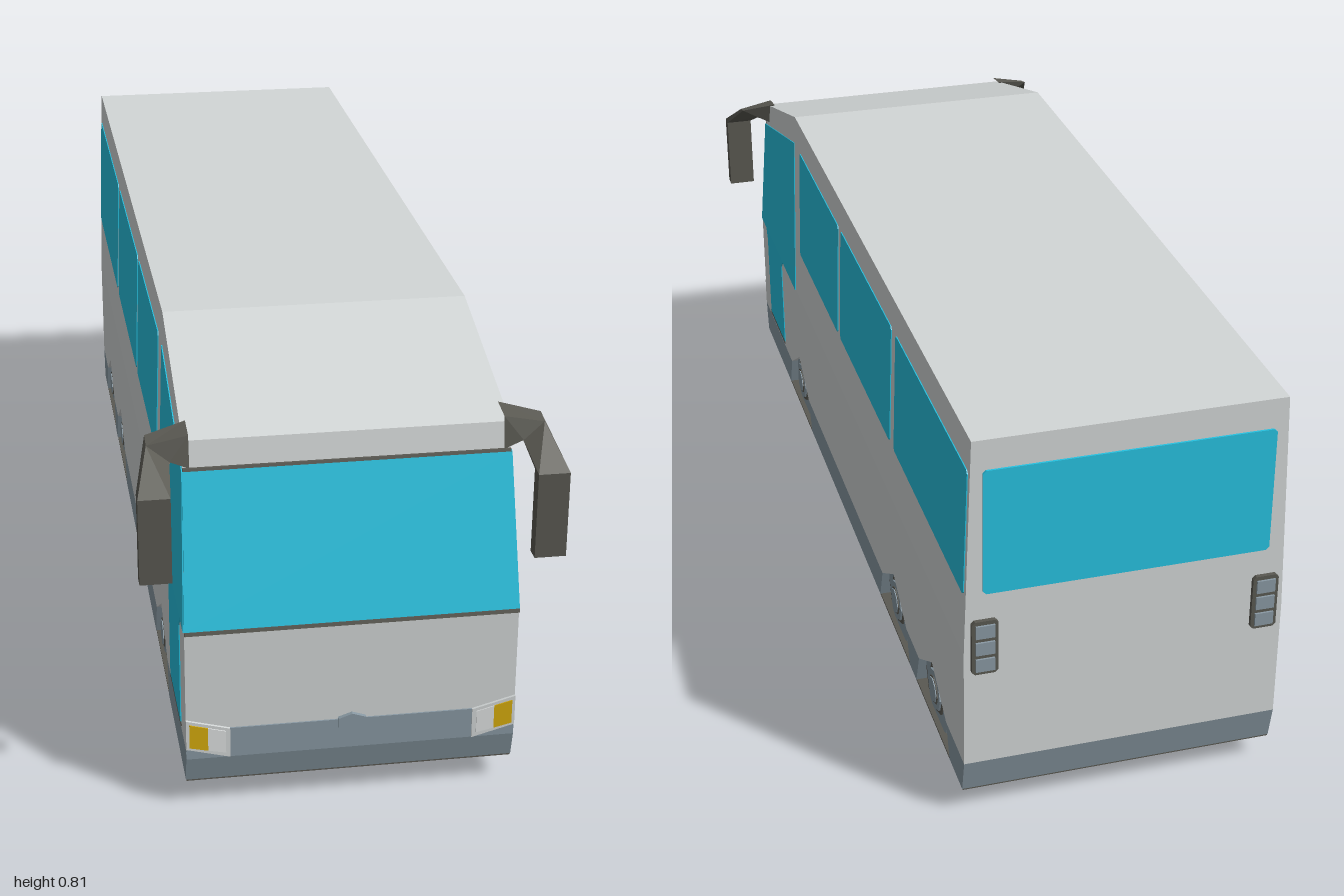
import * as THREE from 'three';

const mat = (name, color, extra = {}) => {
  const m = new THREE.MeshStandardMaterial({ color, ...extra });
  m.name = name;
  return m;
};

// Half width of the coach: straight below the belt line, tapering above it
const BELT = 0.37;
const half = (y) => 0.307 - Math.max(0, y - BELT) * 0.033;
const toShape = (pts) => new THREE.Shape(pts.map(([a, b]) => new THREE.Vector2(a, b)));

export function createModel() {
  const white = mat('bodyWhite', 0xd3d7d7);
  const glass = mat('windowBlue', 0x27c2e1);
  const grey = mat('skirtGrey', 0x8a9aa4);
  const dark = mat('rubberDark', 0x5a5952);
  const amber = mat('indicatorAmber', 0xd6ac0e);
  const lens = mat('lampWhite', 0xdfe2e2);

  const bus = new THREE.Group();
  bus.name = 'coach';
  const add = (name, geo, material, parent = bus) => {
    const mesh = new THREE.Mesh(geo, material);
    mesh.name = name;
    parent.add(mesh);
    return mesh;
  };

  // Full-width solid from a side profile of [z, y] points
  const slab = (name, pts, material, out = 0) => {
    const geo = new THREE.ExtrudeGeometry(toShape(pts), { depth: 2, bevelEnabled: false });
    geo.translate(0, 0, -1).rotateY(-Math.PI / 2);
    const p = geo.attributes.position;
    for (let i = 0; i < p.count; i++) p.setX(i, Math.sign(p.getX(i)) * (half(p.getY(i)) + out));
    geo.computeVertexNormals();
    return add(name, geo, material);
  };

  // Thin plate lying on one side wall, from [z, y] points
  const sidePlate = (name, pts, material, s) => {
    const geo = new THREE.ExtrudeGeometry(toShape(pts), { depth: 0.006, bevelEnabled: false });
    const p = geo.attributes.position;
    for (let i = 0; i < p.count; i++) {
      const [z, y, d] = [p.getX(i), p.getY(i), p.getZ(i)];
      p.setXYZ(i, s * (half(y) + d - 0.004), y, z);
    }
    if (s > 0) {
      for (let i = 0; i < p.count; i += 3) {
        const b = new THREE.Vector3().fromBufferAttribute(p, i + 1);
        p.setXYZ(i + 1, p.getX(i + 2), p.getY(i + 2), p.getZ(i + 2));
        p.setXYZ(i + 2, b.x, b.y, b.z);
      }
    }
    geo.computeVertexNormals();
    return add(name, geo, material);
  };

  // Thin plate facing front or back, from [x, y] points
  const endPlate = (name, pts, material, z, depth = 0.005) => {
    const geo = new THREE.ExtrudeGeometry(toShape(pts), { depth, bevelEnabled: false });
    return add(name, geo.translate(0, 0, z), material);
  };
  const rect = (a0, b0, a1, b1, c = 0) => c
    ? [[a0 + c, b0], [a1 - c, b0], [a1, b0 + c], [a1, b1 - c], [a1 - c, b1], [a0 + c, b1], [a0, b1 - c], [a0, b0 + c]]
    : [[a0, b0], [a1, b0], [a1, b1], [a0, b1]];

  // Body shell
  const axles = [0.545, -0.435, -0.75];
  const archPts = axles.flatMap((c) => [[c + 0.105, 0.125], [c, 0.19], [c - 0.105, 0.125]]);
  slab('lowerBody', [[0.987, 0.125], ...archPts, [-0.987, 0.125], [-0.987, BELT], [0.987, BELT]], white);
  slab('upperBody', [[0.987, BELT], [0.913, 0.66], [0.905, 0.71], [0.545, 0.815],
    [-0.987, 0.815], [-0.987, BELT]], white);

  // Skirt sections between the wheel arches
  let front = [[0.975, 0.055], [0.988, 0.108], [0.988, 0.125]];
  [...axles, null].forEach((c) => {
    const rear = c === null ? [[-0.987, 0.125], [-0.972, 0.055]]
      : [[c + 0.105, 0.125], [c + 0.13, 0.055]];
    slab('skirt', [...front, ...rear], grey);
    if (c !== null) front = [[c - 0.13, 0.055], [c - 0.105, 0.125]];
  });

  // Underside and the core behind the wheels
  add('floor', new THREE.BoxGeometry(0.612, 0.004, 1.946).translate(0, 0.054, 0.0015), dark);
  add('chassisCore', new THREE.BoxGeometry(0.44, 0.25, 1.9).translate(0, 0.185, 0), dark);

  // Windshield with dark seals
  const onScreen = (y, o) => [0.987 - (y - BELT) * 0.255 + o, y];
  const band = (y0, y1, o) => [onScreen(y0, -0.002), onScreen(y0, o), onScreen(y1, o), onScreen(y1, -0.002)];
  slab('windshield', band(0.373, 0.656, 0.004), glass);
  slab('lowerSeal', band(0.366, 0.373, 0.005), dark);
  slab('upperSeal', band(0.656, 0.661, 0.005), dark);

  // Bumper, centre plate, rear window
  endPlate('bumper', [[-0.306, 0.108], [0.306, 0.108], [0.306, 0.13], [0.228, 0.125], [0.228, 0.168],
    [-0.228, 0.168], [-0.228, 0.125], [-0.306, 0.13]], grey, 0.985);
  endPlate('frontHexPlate', [[0, 0.142], [0.026, 0.152], [0.026, 0.172], [0, 0.181],
    [-0.026, 0.172], [-0.026, 0.152]], grey, 0.987, 0.008);
  endPlate('rearWindow', rect(-0.272, 0.5, 0.272, 0.755, 0.006), glass, -0.991);

  for (const s of [1, -1]) {
    // Side windows
    [[-0.975, -0.45], [-0.415, 0.045], [0.07, 0.485]].forEach(([z0, z1]) =>
      sidePlate('sideWindow', rect(z0, 0.495, z1, 0.75, 0.006), glass, s));
    sidePlate('cabWindow', [[0.55, BELT], [0.985, BELT], [0.917, 0.655], [0.55, 0.75]], glass, s);
    sidePlate('doorWindow', [[0.73, 0.14], [0.91, 0.14], [0.91, 0.345], [0.925, BELT],
      [0.71, BELT], [0.73, 0.35]], glass, s);
    sidePlate('doorSill', rect(0.73, 0.134, 0.915, 0.14), dark, s);

    // Headlights
    const m = (pts) => pts.map(([x, y]) => [s * x, y]);
    endPlate('headlightFrame', m([[0.226, 0.108], [0.307, 0.13], [0.307, 0.19], [0.226, 0.168]]), white, 0.986, 0.006);
    endPlate('headlight', m([[0.234, 0.119], [0.267, 0.126], [0.267, 0.173], [0.234, 0.164]]), lens, 0.988, 0.006);
    endPlate('indicator', m([[0.267, 0.126], [0.301, 0.134], [0.301, 0.182], [0.267, 0.173]]), amber, 0.988, 0.006);

    // Tail lights
    endPlate('tailLightFrame', m(rect(0.244, 0.33, 0.294, 0.445, 0.006)), dark, -0.995, 0.009);
    for (const y of [0.338, 0.374, 0.41]) {
      endPlate('tailLight', m(rect(0.251, y, 0.287, y + 0.027)), grey, -0.999, 0.006);
    }

    // Wheels: octagonal tyre, rim, ring and hub
    for (const z of axles) {
      const wheel = new THREE.Group();
      wheel.name = 'wheel';
      wheel.position.set(0, 0.125, z);
      bus.add(wheel);
      [['tyre', 0.125, 0.228, 0.29, dark], ['rim', 0.088, 0.27, 0.296, grey],
        ['hubRing', 0.052, 0.28, 0.299, dark], ['hub', 0.043, 0.28, 0.303, grey],
        ['hubSeam', 0.03, 0.29, 0.305, dark], ['hubCap', 0.026, 0.29, 0.307, grey]]
        .forEach(([name, r, x0, x1, material]) => {
          const geo = new THREE.CylinderGeometry(r, r, x1 - x0, 8).rotateZ(Math.PI / 2).toNonIndexed();
          geo.computeVertexNormals();
          add(name, geo.translate(s * (x0 + x1) / 2, 0, 0), material, wheel);
        });
    }

    // Hanging mirror lofted through four-cornered sections
    const head = (y) => [[0.385, y, 0.972], [0.385, y, 1], [0.327, y, 1], [0.327, y, 0.972]];
    const sections = [
      [[0.285, 0.727, 0.855], [0.285, 0.72, 0.905], [0.285, 0.66, 0.915], [0.285, 0.67, 0.87]],
      [[0.36, 0.712, 0.875], [0.36, 0.705, 0.905], [0.32, 0.675, 0.915], [0.315, 0.69, 0.885]],
      head(0.645), head(0.48)];
    const verts = sections.flat().flatMap(([x, y, z]) => [s * x, y, z]);
    const idx = [];
    const tri = (a, b, c) => idx.push(...(s > 0 ? [a, b, c] : [a, c, b]));
    for (let i = 0; i < 3; i++) {
      for (let k = 0; k < 4; k++) {
        const a = i * 4 + k, b = i * 4 + (k + 1) % 4;
        tri(a, b, b + 4);
        tri(a, b + 4, a + 4);
      }
    }
    tri(12, 13, 14);
    tri(12, 14, 15);
    let geo = new THREE.BufferGeometry();
    geo.setAttribute('position', new THREE.Float32BufferAttribute(verts, 3));
    geo.setIndex(idx);
    geo = geo.toNonIndexed();
    geo.computeVertexNormals();
    add(s > 0 ? 'leftMirror' : 'rightMirror', geo, dark);
  }
  return bus;
}
